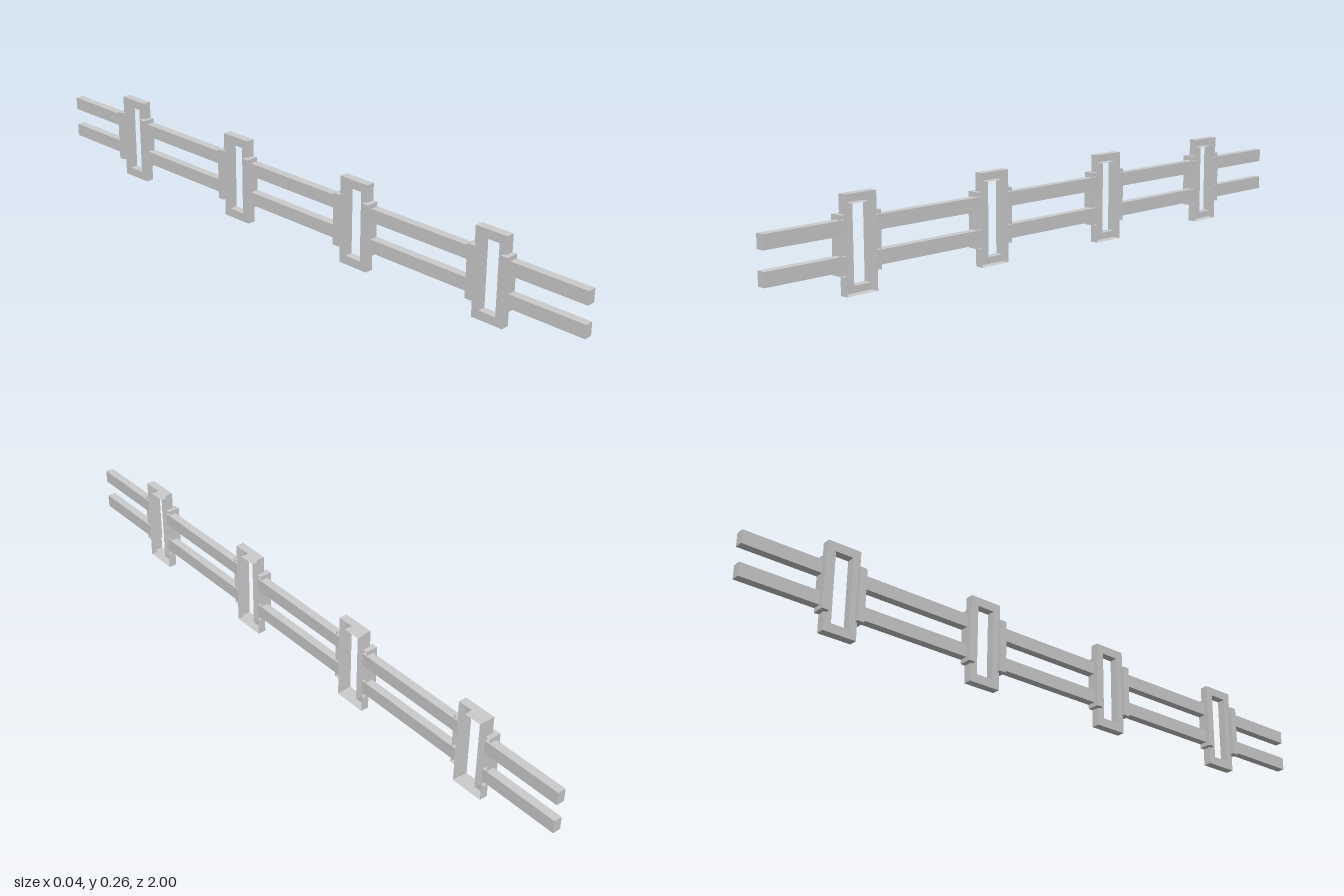
import * as THREE from 'three';

const material = new THREE.MeshStandardMaterial({ color: 0xcccccc, flatShading: true, side: THREE.DoubleSide });

const BACK = -0.007, FRONT = 0.018, CLIP_BACK = -0.02;

// Rectangle outline around a centre
function rectangle(target, cx, cy, w, h) {
  target.moveTo(cx - w / 2, cy - h / 2);
  target.lineTo(cx + w / 2, cy - h / 2);
  target.lineTo(cx + w / 2, cy + h / 2);
  target.lineTo(cx - w / 2, cy + h / 2);
  target.closePath();
  return target;
}

// Extrudes a shape along +x and removes its lid, leaving a hollow tray open towards +x
function openTray(shape, from, to) {
  const solid = new THREE.ExtrudeGeometry(shape, { depth: to - from, bevelEnabled: false });
  const p = solid.attributes.position, n = solid.attributes.normal, kept = [];
  for (let i = 0; i < p.count; i += 3) {
    if (n.getZ(i) > 0.9) continue;
    for (let k = i; k < i + 3; k++) kept.push(p.getX(k), p.getY(k), p.getZ(k));
  }
  const g = new THREE.BufferGeometry();
  g.setAttribute('position', new THREE.Float32BufferAttribute(kept, 3));
  g.computeVertexNormals();
  return g.rotateY(Math.PI / 2).translate(from, 0, 0);
}

// Solid block given by its limits
function block(x0, x1, y0, y1, z0, z1) {
  return new THREE.BoxGeometry(x1 - x0, y1 - y0, z1 - z0)
    .translate((x0 + x1) / 2, (y0 + y1) / 2, (z0 + z1) / 2);
}

function add(parent, name, geometry) {
  const mesh = new THREE.Mesh(geometry, material);
  mesh.name = name;
  parent.add(mesh);
}

// Hollow window frame with a clip on each side
function createBracket() {
  const bracket = new THREE.Group();
  bracket.name = 'bracket';
  const outline = rectangle(new THREE.Shape(), 0, 0.13, 0.1, 0.26);
  outline.holes.push(rectangle(new THREE.Path(), 0, 0.13, 0.054, 0.208));
  add(bracket, 'frame', openTray(outline, BACK, FRONT));
  for (const s of [-1, 1]) {
    const side = rectangle(new THREE.Shape(), s * 0.057, 0.131, 0.014, 0.156);
    add(bracket, 'sideClip', openTray(side, CLIP_BACK, FRONT));
    add(bracket, 'clipLip', block(CLIP_BACK, BACK, 0.053, 0.209,
      Math.min(s * 0.043, s * 0.05), Math.max(s * 0.043, s * 0.05)));
  }
  return bracket;
}

export function createModel() {
  const model = new THREE.Group();
  model.name = 'railing';
  const centres = [-0.703, -0.235, 0.235, 0.703];

  for (const z of centres) {
    const bracket = createBracket();
    bracket.position.z = z;
    model.add(bracket);
  }

  // Two rails, interrupted at every bracket
  const stops = [-1, ...centres.flatMap((z) => [z - 0.05, z + 0.05]), 1];
  for (const [name, y0, y1] of [['lowerRail', 0.066, 0.105], ['upperRail', 0.157, 0.196]]) {
    for (let i = 0; i < stops.length; i += 2) {
      add(model, name, block(BACK, FRONT, y0, y1, stops[i], stops[i + 1]));
    }
  }
  return model;
}
